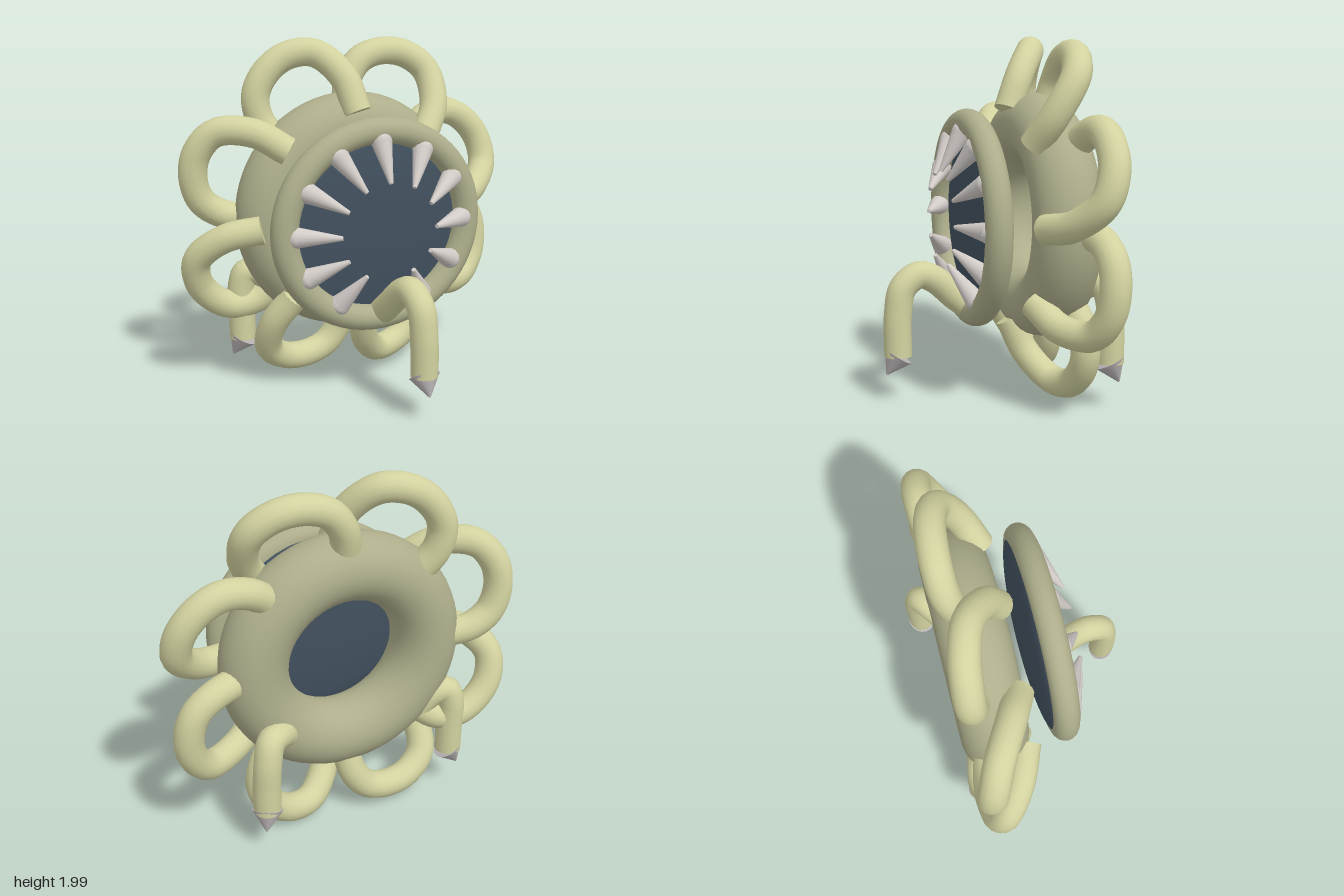
import * as THREE from 'three';

const V = (x, y, z) => new THREE.Vector3(x, y, z);
const UP = V(0, 1, 0);

function material(name, color) {
  const m = new THREE.MeshStandardMaterial({ color });
  m.name = name;
  return m;
}

function part(parent, name, geometry, mat) {
  const mesh = new THREE.Mesh(geometry, mat);
  mesh.name = name;
  parent.add(mesh);
  return mesh;
}

// Smooth tube through points, with a flat cap on its first end
function cappedTube(parent, name, points, radius, mat) {
  const curve = new THREE.CatmullRomCurve3(points);
  part(parent, name, new THREE.TubeGeometry(curve, 40, radius, 16), mat);
  const cap = part(parent, name + 'Cap', new THREE.CircleGeometry(radius, 16), mat);
  cap.position.copy(points[0]);
  cap.quaternion.setFromUnitVectors(V(0, 0, 1), curve.getTangent(0).negate());
}

// Cone whose base centre sits at a point and whose axis follows a direction
function spike(parent, name, base, direction, length, rBase, rTip, mat) {
  const dir = direction.clone().normalize();
  const mesh = part(parent, name, new THREE.CylinderGeometry(rTip, rBase, length, 16), mat);
  mesh.quaternion.setFromUnitVectors(UP, dir);
  mesh.position.copy(base).addScaledVector(dir, length / 2);
}

export function createModel() {
  const model = new THREE.Group();
  const body = material('bodyOlive', 0xaeae8c);
  const pale = material('paleOlive', 0xd2d2a0);
  const dark = material('darkSlate', 0x42515f);
  const ivory = material('toothIvory', 0xd2ccc8);
  const grey = material('clawGrey', 0xbbb5b6);

  // Thick rear ring
  const ring = part(model, 'bodyRing', new THREE.TorusGeometry(0.5, 0.185, 28, 64), body);
  ring.position.set(0, 1, -0.285);

  // Slightly oval mouth rim with a lens-shaped dark disc in it
  const rim = part(model, 'mouthRim', new THREE.TorusGeometry(0.528, 0.073, 18, 64), body);
  rim.scale.x = 1.04;
  rim.position.set(0, 1, 0.103);
  const disc = part(model, 'mouthDisc', new THREE.SphereGeometry(0.55, 48, 24), dark);
  disc.scale.set(1.02, 1, 0.136);
  disc.position.set(0, 1, 0.05);

  // Teeth lean inward and forward; the bottom place is taken by the front arm
  const teeth = new THREE.Group();
  teeth.name = 'teeth';
  model.add(teeth);
  for (let i = 0; i < 12; i++) {
    if (i === 9) continue;
    const a = (i * Math.PI) / 6;
    const c = Math.cos(a), s = Math.sin(a);
    const base = V(0.5 * c, 1 + 0.475 * s, 0.14);
    const tip = V(0.28 * c, 1 + 0.265 * s, 0.26);
    const dir = tip.clone().sub(base);
    spike(teeth, 'tooth', base, dir, dir.length(), 0.058, 0.012, ivory);
    const root = part(teeth, 'toothRoot', new THREE.SphereGeometry(0.058, 14, 10), ivory);
    root.position.copy(base);
  }

  // Eight twisted loops: [radial, tangential, z], front end to rear end
  const profile = [
    [0.55, 0.21, -0.13], [0.74, 0.24, -0.21], [0.91, 0.17, -0.315], [0.955, 0.03, -0.365],
    [0.92, -0.11, -0.385], [0.83, -0.215, -0.39], [0.7, -0.25, -0.38], [0.54, -0.22, -0.34],
  ];
  const loops = new THREE.Group();
  loops.name = 'loops';
  model.add(loops);
  for (let i = 0; i < 8; i++) {
    const a = ((i + 0.5) * Math.PI) / 4;
    const c = Math.cos(a), s = Math.sin(a);
    const points = profile.map(([u, t, z]) => V(u * c + t * s, 1 + u * s - t * c, z));
    cappedTube(loops, 'loop', points, 0.08, pale);
  }

  // Three drooping arms, each ending in an outward-tilted claw
  const arms = [
    ['frontArm', V(0, -0.84, 0.54), [[0.02, 0.49, 0.1], [0.025, 0.57, 0.2], [0.04, 0.67, 0.31],
      [0.05, 0.705, 0.4], [0.06, 0.64, 0.495], [0.065, 0.5, 0.525], [0.07, 0.265, 0.528]]],
    ['leftRearArm', V(0.2, -0.9, -0.38), [[0.33, 0.6, -0.36], [0.42, 0.68, -0.45],
      [0.49, 0.68, -0.5], [0.52, 0.58, -0.525], [0.53, 0.42, -0.525], [0.53, 0.27, -0.525]]],
    ['rightRearArm', V(-0.45, -0.85, -0.15), [[-0.45, 0.58, -0.36], [-0.53, 0.66, -0.385],
      [-0.6, 0.67, -0.4], [-0.63, 0.59, -0.41], [-0.63, 0.44, -0.41], [-0.63, 0.27, -0.41]]],
  ];
  for (const [name, tilt, path] of arms) {
    const arm = new THREE.Group();
    arm.name = name;
    model.add(arm);
    const points = path.map((p) => V(...p));
    cappedTube(arm, 'limb', points, 0.076, pale);
    spike(arm, 'claw', points[points.length - 1], tilt, 0.12, 0.085, 0.004, grey);
  }
  return model;
}
